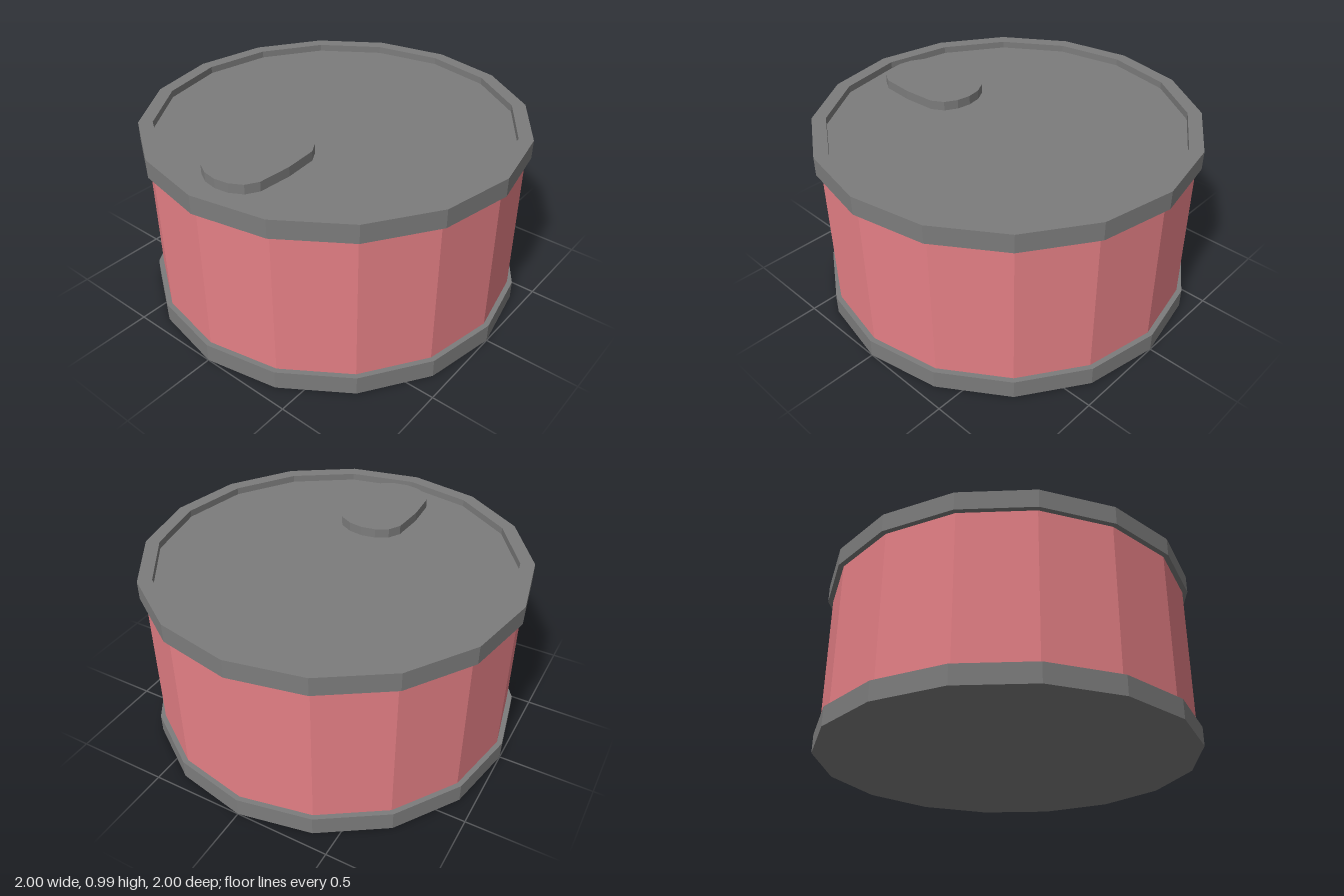
import * as THREE from 'three';

const SIDES = 16;
const metal = new THREE.MeshStandardMaterial({ color: 0x7c7c7c, flatShading: true });
const red = new THREE.MeshStandardMaterial({ color: 0xe47f85, flatShading: true });

// Faceted solid of revolution; profile of [radius, height] pairs, outside running upwards
function turned(name, profile, material) {
  const points = profile.map(([r, y]) => new THREE.Vector2(r, y));
  const mesh = new THREE.Mesh(new THREE.LatheGeometry(points, SIDES), material);
  mesh.name = name;
  return mesh;
}

// Flat oval pull tab, one quarter outline mirrored to all four
function pullTab() {
  const quarter = [[0.19, 0], [0.177, 0.175], [0.14, 0.238], [0.075, 0.274], [0, 0.286]];
  const half = [...quarter, ...quarter.slice(0, -1).reverse().map(([x, y]) => [-x, y])];
  const outline = [...half, ...half.slice(1, -1).map(([x, y]) => [-x, -y])];
  const shape = new THREE.Shape(outline.map(([x, y]) => new THREE.Vector2(x, y)));
  const geometry = new THREE.ExtrudeGeometry(shape, { depth: 0.05, bevelEnabled: false });
  geometry.rotateX(-Math.PI / 2);
  const mesh = new THREE.Mesh(geometry, metal);
  mesh.name = 'pullTab';
  mesh.position.set(0, 0.94, 0.565);
  return mesh;
}

export function createModel() {
  const can = new THREE.Group();
  can.name = 'foodCan';
  can.add(
    // Solid base with a narrow ledge around the body
    turned('bottomRim', [[0, 0], [1, 0], [1, 0.1], [0.95, 0.1]], metal),
    turned('body', [[0.973, 0.1], [0.973, 0.88]], red),
    // Raised rim around a slightly sunken lid
    turned('topRim', [[0.95, 0.88], [1, 0.88], [1, 0.977], [0.927, 0.977], [0.927, 0.94]], metal),
    turned('lid', [[0.927, 0.94], [0, 0.94]], metal),
    pullTab()
  );
  return can;
}
